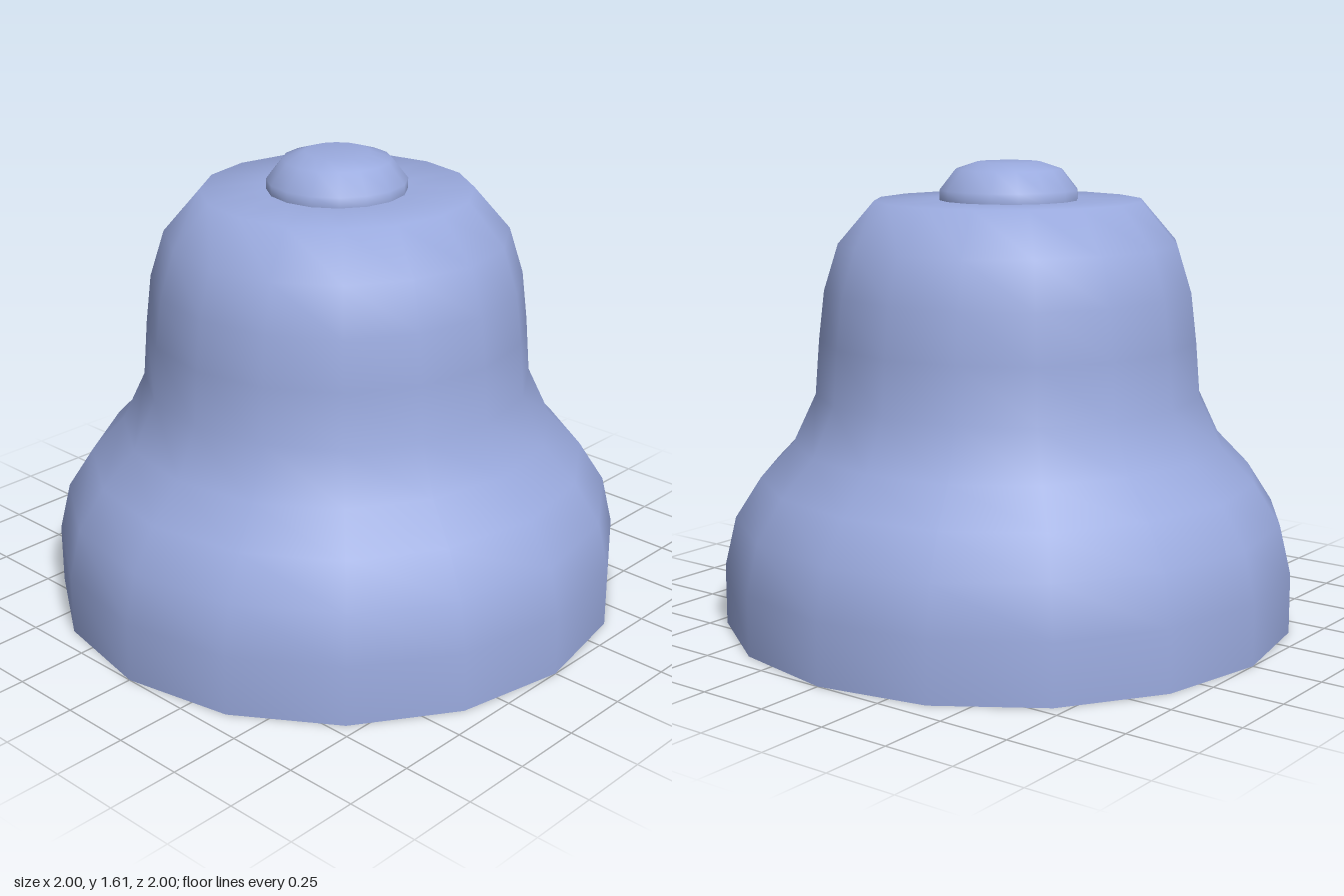
import * as THREE from 'three';

const SIDES = 16;
const material = new THREE.MeshStandardMaterial({ color: 0x9aaade });

// Revolved part; profiles running upward face outward
function turned(name, profile) {
  const points = profile.map(([r, y]) => new THREE.Vector2(r, y));
  const mesh = new THREE.Mesh(new THREE.LatheGeometry(points, SIDES), material);
  mesh.name = name;
  return mesh;
}

export function createModel() {
  const bell = new THREE.Group();
  bell.name = 'bell';

  // Outer wall, from lip to flat crown
  bell.add(turned('outerShell', [
    [1, 0], [1, 0.21], [0.96, 0.38], [0.87, 0.52], [0.755, 0.64], [0.675, 0.81],
    [0.66, 1], [0.64, 1.17], [0.59, 1.33], [0.465, 1.475], [0.24, 1.475], [0, 1.475],
  ]));

  // Inner wall, from crown down to lip
  bell.add(turned('innerShell', [
    [0, 1.4], [0.43, 1.4], [0.52, 1.29], [0.565, 1.15], [0.585, 0.99], [0.6, 0.79],
    [0.69, 0.59], [0.81, 0.47], [0.89, 0.35], [0.925, 0.2], [0.925, 0],
  ]));

  // Flat underside of the lip
  bell.add(turned('rim', [[0.925, 0], [1, 0]]));

  // Rounded button on top
  bell.add(turned('topKnob', [
    [0.24, 1.475], [0.24, 1.51], [0.185, 1.58], [0.11, 1.605], [0, 1.605],
  ]));

  return bell;
}
